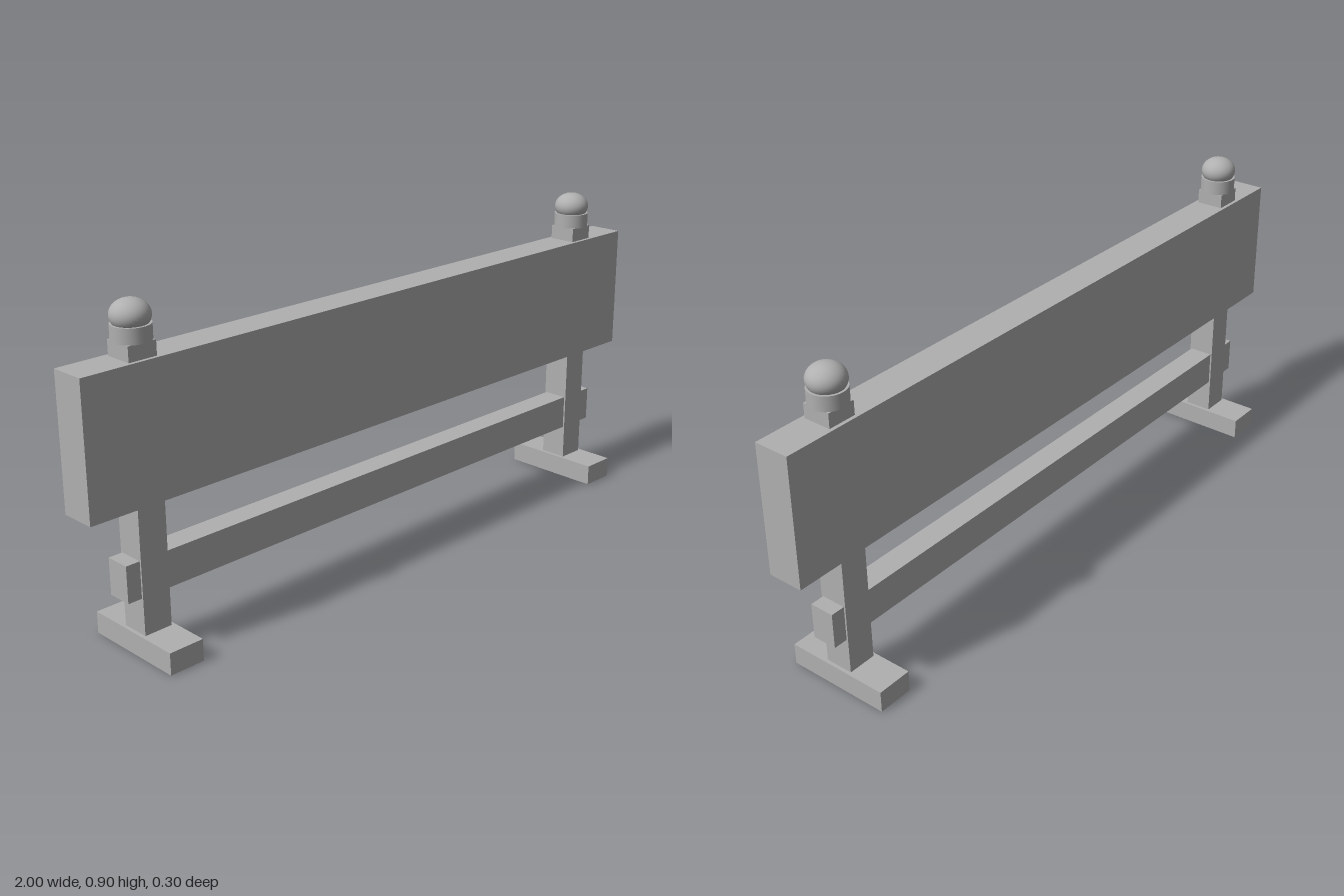
import * as THREE from 'three';

export function createModel() {
  const model = new THREE.Group();
  model.name = 'barrier';
  const grey = new THREE.MeshStandardMaterial({ color: 0xb0b0b0 });
  grey.name = 'grey';

  const add = (parent, name, geometry, y) => {
    const mesh = new THREE.Mesh(geometry, grey);
    mesh.name = name;
    mesh.position.y = y;
    parent.add(mesh);
    return mesh;
  };
  // Box given by its width, depth and bottom and top heights
  const addBox = (parent, name, width, depth, bottom, top) =>
    add(parent, name, new THREE.BoxGeometry(width, top - bottom, depth), (bottom + top) / 2);

  // Wide board and lower rail running through both posts
  addBox(model, 'board', 2, 0.1, 0.4, 0.76);
  addBox(model, 'lowerRail', 1.8, 0.07, 0.16, 0.26);

  // Two uprights, each with a foot, a post and a lamp on top
  for (const [side, x] of [['left', 0.82], ['right', -0.82]]) {
    const upright = new THREE.Group();
    upright.name = side + 'Upright';
    upright.position.x = x;
    addBox(upright, 'foot', 0.1, 0.3, 0, 0.06);
    addBox(upright, 'post', 0.08, 0.08, 0.06, 0.8);
    add(upright, 'lampBase', new THREE.CylinderGeometry(0.05, 0.05, 0.04, 32), 0.82);
    const dome = add(upright, 'lampDome', new THREE.SphereGeometry(0.05, 32, 20), 0.86);
    dome.scale.y = 0.8;
    model.add(upright);
  }
  return model;
}
